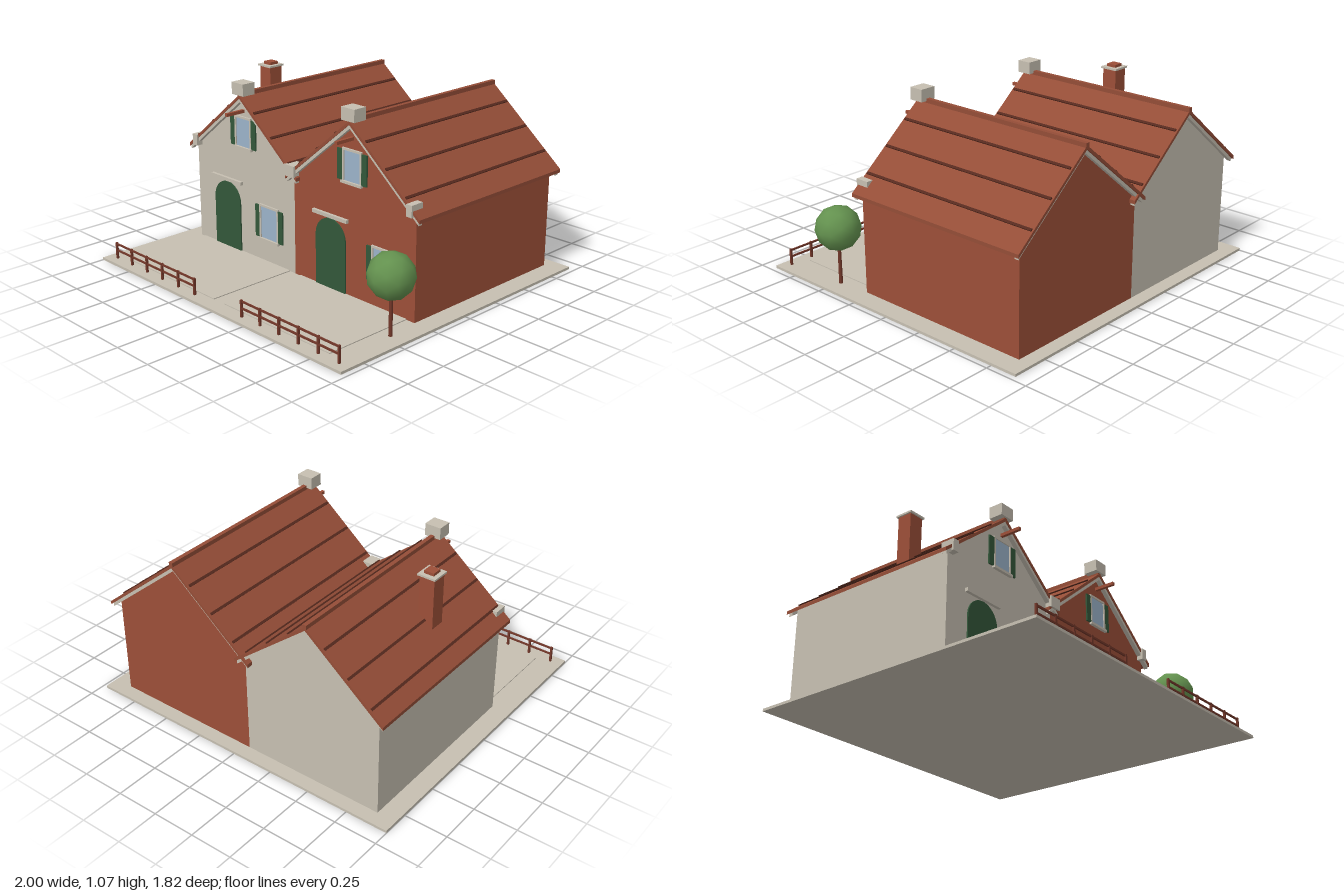
import * as THREE from 'three';

const mat = (name, color) => {
  const m = new THREE.MeshStandardMaterial({ color });
  m.name = name;
  return m;
};

export function createModel() {
  const stone = mat('stone', 0xc6bfb1);
  const brick = mat('brick', 0x9c4f38);
  const tile = mat('roof tile', 0x944d37);
  const seam = mat('roof seam', 0x562a1e);
  const wood = mat('fence wood', 0x74382a);
  const green = mat('painted green', 0x33573a);
  const glass = mat('window glass', 0x9bb3c9);
  const leaf = mat('foliage', 0x64924f);

  const model = new THREE.Group();
  model.name = 'semiDetachedHouses';

  const add = (parent, name, geometry, material, x = 0, y = 0, z = 0) => {
    const mesh = new THREE.Mesh(geometry, material);
    mesh.name = name;
    mesh.position.set(x, y, z);
    parent.add(mesh);
    return mesh;
  };
  // Box given by its min and max on each axis
  const box = (parent, name, material, x0, x1, y0, y1, z0, z1) =>
    add(parent, name, new THREE.BoxGeometry(x1 - x0, y1 - y0, z1 - z0), material,
      (x0 + x1) / 2, (y0 + y1) / 2, (z0 + z1) / 2);
  const extrude = (points, depth) => new THREE.ExtrudeGeometry(
    new THREE.Shape(points.map(([x, y]) => new THREE.Vector2(x, y))), { depth, bevelEnabled: false });

  const GROUND = 0.015, FRONT = 0.27, BACK = -0.83, ROOF_FRONT = 0.3, ROOF_BACK = -0.865;

  box(model, 'groundSlab', stone, -1, 0.97, 0, GROUND, -0.91, 0.91);

  // Inverted V band of vertical thickness t, for roofs and verges
  const chevron = (half, top, slope, t) => {
    const low = top - half * slope;
    return [[-half, low], [0, top], [half, low], [half, low - t], [0, top - t], [-half, low - t]];
  };

  function addWindow(parent, x, y0, y1, half, shutter) {
    const g = new THREE.Group();
    g.name = 'window';
    parent.add(g);
    const b = 0.012;
    box(g, 'glass', glass, x - half + b, x + half - b, y0 + b, y1 - b, FRONT, FRONT + 0.005);
    for (const s of [-1, 1]) {
      const edge = x + s * (half - b / 2);
      box(g, 'frameSide', stone, edge - b / 2, edge + b / 2, y0, y1, FRONT, FRONT + 0.01);
      const c = x + s * (half + shutter / 2);
      box(g, 'shutter', green, c - shutter / 2, c + shutter / 2, y0 + 0.01, y1 - 0.01, FRONT, FRONT + 0.009);
    }
    box(g, 'sill', stone, x - half - 0.005, x + half + 0.005, y0 - 0.002, y0 + b, FRONT, FRONT + 0.018);
    box(g, 'frameTop', stone, x - half, x + half, y1 - b, y1, FRONT, FRONT + 0.011);
  }

  function addDoor(parent, x) {
    const r = 0.113, spring = 0.31;
    const s = new THREE.Shape();
    s.moveTo(-r, GROUND);
    s.lineTo(r, GROUND);
    s.lineTo(r, spring);
    s.absarc(0, spring, r, 0, Math.PI, false);
    s.closePath();
    add(parent, 'archedDoor', new THREE.ExtrudeGeometry(s, { depth: 0.008, bevelEnabled: false, curveSegments: 16 }),
      green, x, 0, FRONT);
    box(parent, 'doorLintel', stone, x - 0.132, x + 0.132, 0.43, 0.45, FRONT, FRONT + 0.018);
  }

  function addHouse(o) {
    const g = new THREE.Group();
    g.name = o.name;
    model.add(g);
    const { cx, half, top, slope } = o;

    // Walls with gable ends
    const wallTop = top - 0.022;
    const eave = wallTop - half * slope;
    add(g, 'walls', extrude([[-half, GROUND], [half, GROUND], [half, eave], [0, wallTop], [-half, eave]],
      FRONT - BACK), o.wall, cx, 0, BACK);

    // Roof with pale verges under both ends
    const span = half + 0.045;
    add(g, 'roof', extrude(chevron(span, top, slope, 0.02), ROOF_FRONT - ROOF_BACK), tile, cx, 0, ROOF_BACK);
    const verge = extrude(chevron(span - 0.01, top - 0.02, slope, 0.022), 0.025);
    add(g, 'frontVerge', verge, stone, cx, 0, FRONT);
    add(g, 'backVerge', verge, stone, cx, 0, BACK - 0.025);
    box(g, 'ridgeCap', tile, cx - 0.012, cx + 0.012, top - 0.01, top + 0.014, ROOF_BACK - 0.002, ROOF_FRONT - 0.002);

    // Seams between tile courses
    const length = ROOF_FRONT - ROOF_BACK - 0.02;
    for (const s of [-1, 1]) {
      for (const d of [0.11, 0.25, 0.39]) {
        const strip = add(g, 'roofSeam', new THREE.BoxGeometry(0.014, 0.014, length), seam,
          cx + s * d, top - d * slope, (ROOF_FRONT + ROOF_BACK) / 2);
        strip.rotation.z = -s * Math.atan(slope);
      }
    }

    // Gable block and hoist beam
    box(g, 'ridgeBlock', stone, cx - 0.048, cx + 0.048, top, top + 0.07, 0.225, 0.31);
    const by = top - 0.098;
    box(g, 'hoistBeam', brick, cx - 0.009, cx + 0.009, by - 0.009, by + 0.009, FRONT - 0.02, 0.395);

    addWindow(g, cx, 0.655, 0.845, 0.07, 0.038);
    addWindow(g, o.windowX, 0.147, 0.36, 0.079, 0.036);
    addDoor(g, o.doorX);
    box(g, 'paving', stone, o.paving[0], o.paving[1], GROUND, GROUND + 0.005, FRONT, 0.82);
  }

  addHouse({ name: 'stoneHouse', wall: stone, cx: -0.467, half: 0.422, top: 0.975, slope: 0.81,
    windowX: -0.257, doorX: -0.62, paving: [-0.85, -0.09] });
  addHouse({ name: 'brickHouse', wall: brick, cx: 0.405, half: 0.45, top: 1.003, slope: 0.825,
    windowX: 0.63, doorX: 0.243, paving: [0, 0.8] });

  // Blocks where the eaves meet the front
  for (const [x0, x1] of [[-0.89, -0.85], [-0.085, -0.008], [0.817, 0.856]])
    box(model, 'eaveBlock', stone, x0, x1, 0.597, 0.663, 0.228, 0.31);

  // Chimney
  box(model, 'chimneyShaft', brick, -0.765, -0.676, 0.68, 1.025, -0.207, -0.118);
  box(model, 'chimneyCap', stone, -0.774, -0.667, 1.025, 1.036, -0.216, -0.109);
  box(model, 'chimneyPot', brick, -0.75, -0.691, 1.036, 1.052, -0.192, -0.133);

  // Front fences
  for (const x0 of [-0.93, 0.182]) {
    const fence = new THREE.Group();
    fence.name = 'fence';
    model.add(fence);
    const width = 0.72;
    for (let i = 0; i < 6; i++) {
      const x = x0 + (width * i) / 5;
      box(fence, 'fencePost', wood, x - 0.006, x + 0.006, GROUND, 0.112, 0.849, 0.861);
    }
    for (const y of [0.065, 0.104])
      box(fence, 'fenceRail', wood, x0, x0 + width, y - 0.005, y + 0.005, 0.851, 0.859);
  }

  // Tree
  add(model, 'treeTrunk', new THREE.CylinderGeometry(0.009, 0.011, 0.24, 8), wood, 0.87, GROUND + 0.12, 0.465);
  add(model, 'treeCrown', new THREE.IcosahedronGeometry(0.128, 1), leaf, 0.87, 0.343, 0.465);

  return model;
}
